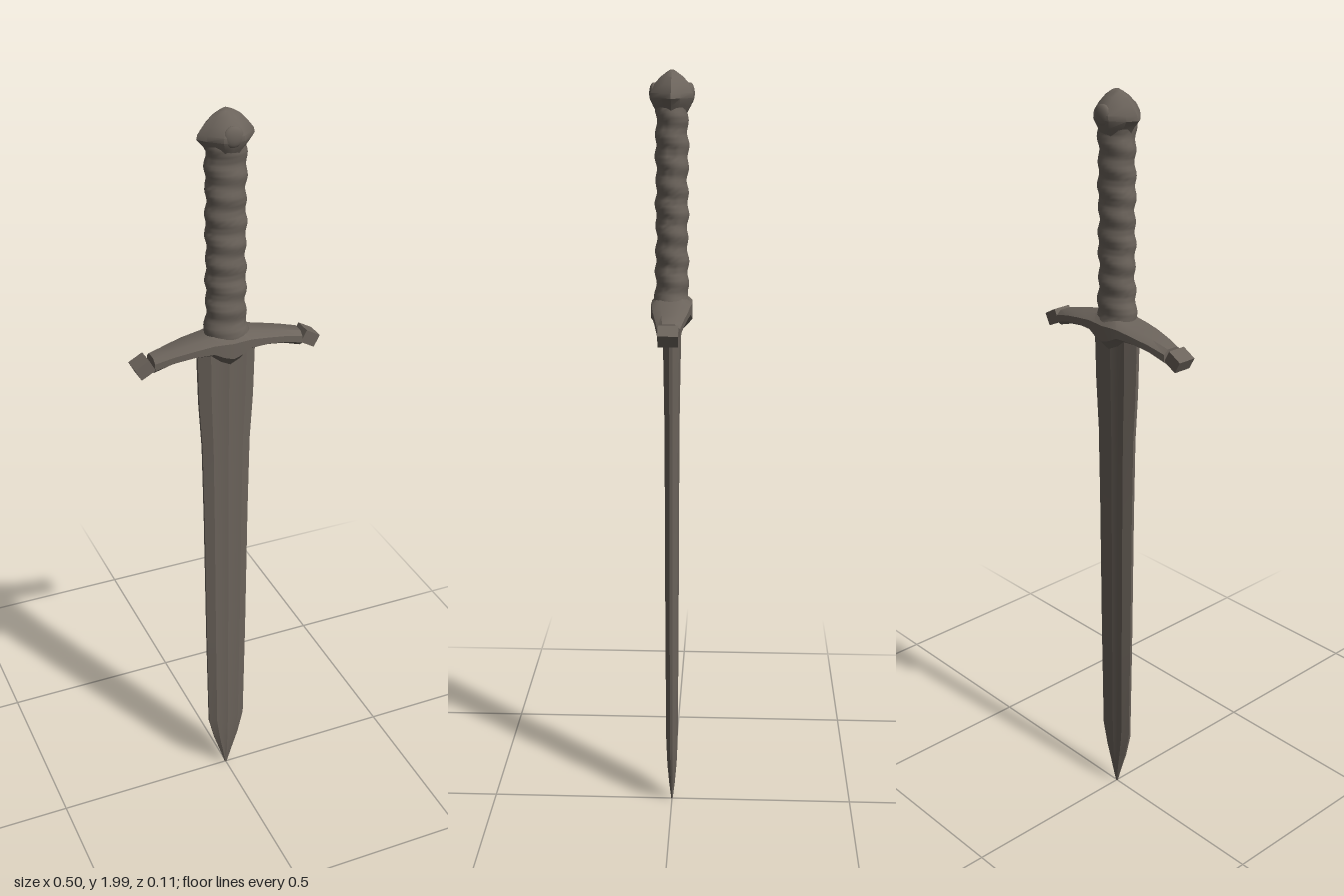
import * as THREE from 'three';
import { toCreasedNormals } from 'three/addons/utils/BufferGeometryUtils.js';

// Skin a closed solid over rings of [x, y, z], counter-clockwise about the loft axis.
function loft(rings, crease) {
  const n = rings[0].length;
  const pos = rings.flat(2);
  const index = [];
  for (let i = 0; i < rings.length - 1; i++) {
    for (let j = 0; j < n; j++) {
      const a = i * n + j, b = i * n + (j + 1) % n;
      index.push(a, b, b + n, a, b + n, a + n);
    }
  }
  // End caps as fans about each ring's centre
  [[0, rings[0]], [(rings.length - 1) * n, rings[rings.length - 1]]].forEach(([start, ring], end) => {
    const c = pos.length / 3;
    for (let k = 0; k < 3; k++) pos.push(ring.reduce((s, p) => s + p[k], 0) / n);
    for (let j = 0; j < n; j++) {
      const a = start + j, b = start + (j + 1) % n;
      if (end) index.push(c, a, b); else index.push(c, b, a);
    }
  });
  const g = new THREE.BufferGeometry();
  g.setAttribute('position', new THREE.Float32BufferAttribute(pos, 3));
  g.setIndex(index);
  return toCreasedNormals(g, crease);
}

// Horizontal ring from a unit outline [x, z]
const ringY = (outline, y, w, d) => outline.map(([x, z]) => [x * w, y, -z * d]);

const circle = (n) => Array.from({ length: n }, (_, i) => {
  const a = i / n * Math.PI * 2;
  return [Math.cos(a), Math.sin(a)];
});

export function createModel() {
  const model = new THREE.Group();
  const steel = new THREE.MeshStandardMaterial({ color: 0x6b635b });
  steel.name = 'weathered steel';
  const add = (name, geometry) => {
    const m = new THREE.Mesh(geometry, steel);
    m.name = name;
    model.add(m);
  };

  // Blade: blunt edges, bevels and a low central ridge
  const half = [[1, 0.2], [0.62, 0.85], [0.3, 0.8], [0, 1], [-0.3, 0.8], [-0.62, 0.85], [-1, 0.2]];
  const bladeOutline = [...half, ...half.map(([x, z]) => [-x, -z])];
  const bladeRows = [
    [0.01, 0.003, 0.002], [0.06, 0.018, 0.008], [0.12, 0.037, 0.013], [0.19, 0.053, 0.016],
    [0.5, 0.058, 0.018], [0.9, 0.062, 0.019], [1.12, 0.066, 0.02], [1.25, 0.074, 0.022], [1.41, 0.078, 0.025],
  ];
  add('blade', loft(bladeRows.map(([y, w, d]) => ringY(bladeOutline, y, w, d)), 0.35));

  // Crossguard: drooping arms, pointed middle; rows are x, bottom y, top y, half depth
  const arm = [
    [0, 1.36, 1.452, 0.052], [0.025, 1.372, 1.45, 0.052], [0.05, 1.392, 1.442, 0.049],
    [0.1, 1.394, 1.432, 0.044], [0.15, 1.386, 1.422, 0.036], [0.198, 1.37, 1.41, 0.028],
  ];
  const guardRows = [...arm.slice(1).reverse().map(([x, ...r]) => [-x, ...r]), ...arm];
  add('crossguard', loft(guardRows.map(([x, b, t, d]) => {
    const m = (b + t) / 2, h = (t - b) / 2;
    return [[1, 0.55], [0.45, 1], [-0.45, 1], [-1, 0.55], [-1, -0.55], [-0.45, -1], [0.45, -1], [1, -0.55]]
      .map(([y, z]) => [x, m + y * h, z * d]);
  }), 0.6));

  // Tilted block at the end of each arm
  for (const side of [1, -1]) {
    const block = new THREE.BoxGeometry(0.042, 0.034, 0.05);
    block.rotateZ(-0.5 * side);
    block.translate(0.222 * side, 1.386, 0);
    add(side > 0 ? 'leftGuardTip' : 'rightGuardTip', block);
  }

  // Grip: oval core with a spiral wrap raised by a rule
  const gripRings = [];
  const rows = 72;
  for (let i = 0; i <= rows; i++) {
    const t = i / rows, y = 1.42 + t * 0.51;
    const flare = 0.012 * Math.exp(-t * 14);
    gripRings.push(circle(24).map(([c, s], j) => {
      const a = j / 24 * Math.PI * 2;
      const wrap = 0.0025 * Math.sin(t * 56 + a) + 0.0012 * Math.sin(t * 23 - a * 2);
      return [c * (0.05 + flare + wrap), y, -s * (0.04 + flare * 0.7 + wrap)];
    }));
  }
  add('grip', loft(gripRings, 1.0));

  // Pommel: flared diamond cap rising to a small peak
  const pommelOutline = [[1, 0], [0.78, 0.42], [0.36, 0.95], [0, 1], [-0.36, 0.95], [-0.78, 0.42],
    [-1, 0], [-0.78, -0.42], [-0.36, -0.95], [0, -1], [0.36, -0.95], [0.78, -0.42]];
  const pommelRows = [
    [1.895, 0.045, 0.036], [1.915, 0.056, 0.047], [1.934, 0.073, 0.054], [1.946, 0.07, 0.054],
    [1.966, 0.054, 0.044], [1.984, 0.036, 0.027], [1.995, 0.018, 0.012], [2.0, 0.005, 0.004],
  ];
  add('pommel', loft(pommelRows.map(([y, w, d]) => ringY(pommelOutline, y, w, d)), 0.7));

  // Round boss on each face of the pommel
  for (const side of [1, -1]) {
    const boss = new THREE.SphereGeometry(1, 16, 10);
    boss.scale(0.026, 0.026, 0.012);
    boss.translate(0, 1.944, 0.044 * side);
    add(side > 0 ? 'frontPommelBoss' : 'backPommelBoss', boss);
  }

  return model;
}
